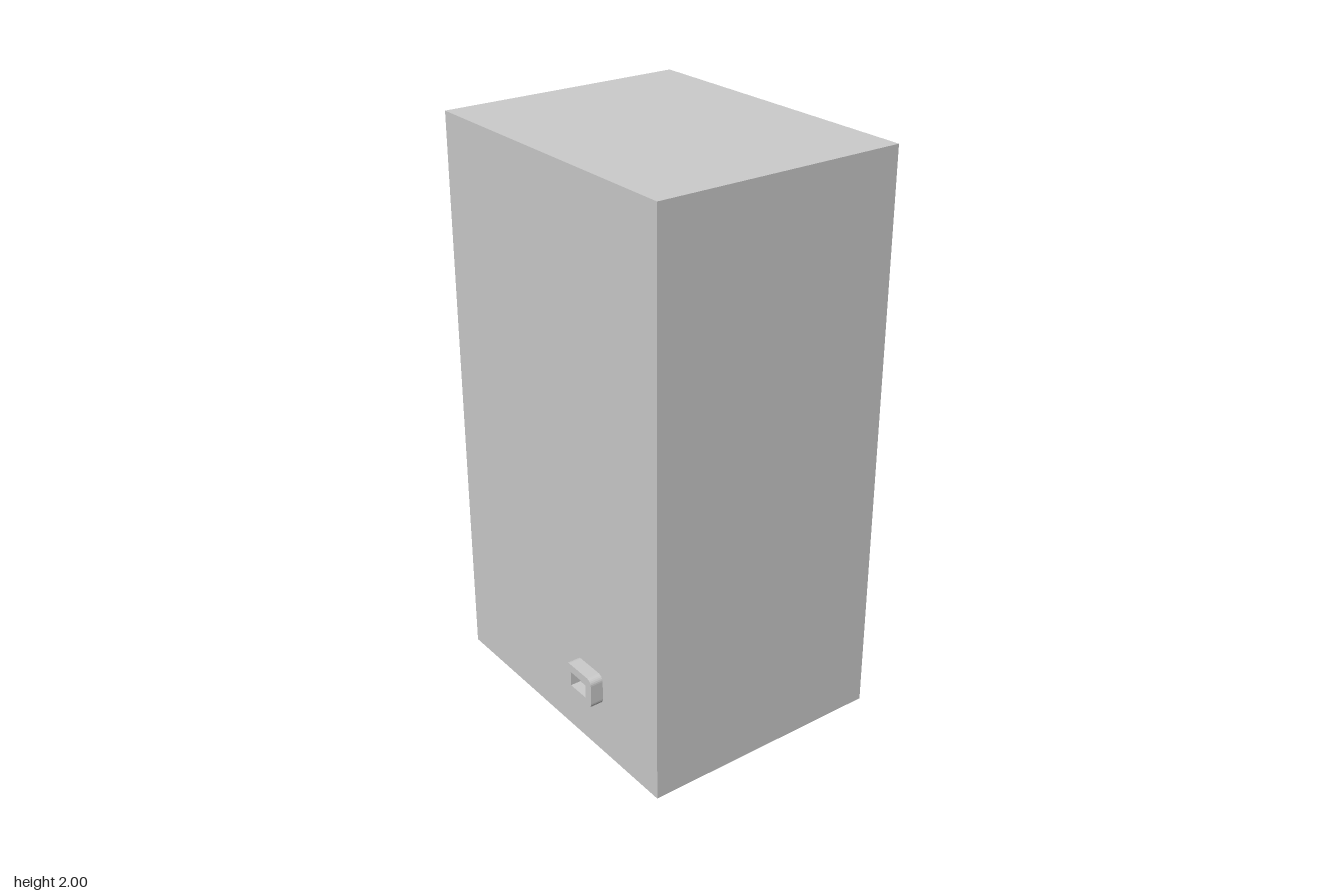
import * as THREE from 'three';

const FRONT = 0.467; // outer surface of the vending face (+x)
const BACK = -0.42;
const SLAB = 0.1; // thickness of the layer holding the recesses
const INNER = FRONT - SLAB;

const material = new THREE.MeshStandardMaterial({ color: 0xcccccc });

// Outline points are [z, y]; the shape plane is turned to face +x, so u = -z
const toPoints = (outline) => outline.map(([z, y]) => new THREE.Vector2(-z, y));
const rect = (z0, z1, y0, y1) => [[z1, y0], [z0, y0], [z0, y1], [z1, y1]];

function addPlate(group, name, outline, holes, x0, x1) {
  const shape = new THREE.Shape(toPoints(outline));
  for (const hole of holes) shape.holes.push(new THREE.Path(toPoints(hole)));
  const geometry = new THREE.ExtrudeGeometry(shape, { depth: x1 - x0, bevelEnabled: false });
  geometry.rotateY(Math.PI / 2).translate(x0, 0, 0);
  const mesh = new THREE.Mesh(geometry, material);
  mesh.name = name;
  group.add(mesh);
}

// Rectangle outline with rounded corners
function roundedRect(z0, z1, y0, y1, r, steps = 6) {
  const points = [];
  const corners = [[z1 - r, y1 - r], [z0 + r, y1 - r], [z0 + r, y0 + r], [z1 - r, y0 + r]];
  corners.forEach(([z, y], i) => {
    for (let k = 0; k <= steps; k++) {
      const a = (i + k / steps) * Math.PI / 2;
      points.push([z + r * Math.cos(a), y + r * Math.sin(a)]);
    }
  });
  return points;
}

export function createModel() {
  const model = new THREE.Group();
  model.name = 'vendingMachine';

  // Recesses: outer opening, optional inner opening, and the depth of each step
  const recesses = [
    { name: 'window', outer: rect(-0.283, 0.483, 0.625, 1.927),
      inner: rect(-0.25, 0.45, 0.655, 1.89), d1: 0.035, d2: 0.035 },
    { name: 'dispenser', outer: rect(-0.235, 0.365, 0.147, 0.4),
      inner: rect(-0.198, 0.33, 0.18, 0.365), d1: 0.04, d2: 0.04 },
    { name: 'cardReader',
      outer: [[-0.29, 1.445], [-0.548, 1.445], [-0.548, 1.56], [-0.39, 1.56], [-0.37, 1.555], [-0.29, 1.555]],
      inner: rect(-0.505, -0.335, 1.49, 1.52), d1: 0.025, d2: 0.03 },
    { name: 'keypad',
      outer: [[-0.29, 1.133], [-0.548, 1.133], [-0.548, 1.28], [-0.405, 1.28], [-0.39, 1.285], [-0.29, 1.285]],
      d1: 0.025 },
  ];

  // Cabinet and its pierced front layer
  const cabinet = new THREE.Mesh(new THREE.BoxGeometry(INNER - BACK, 2, 1.116), material);
  cabinet.position.set((INNER + BACK) / 2, 1, 0);
  cabinet.name = 'cabinet';
  model.add(cabinet);
  addPlate(model, 'frontPanel', rect(-0.558, 0.558, 0, 2), recesses.map((r) => r.outer), INNER, FRONT);

  // Stepped frames and floors inside the recesses
  for (const { name, outer, inner, d1, d2 } of recesses) {
    const group = new THREE.Group();
    group.name = name;
    addPlate(group, name + 'Frame', outer, inner ? [inner] : [], INNER, FRONT - d1);
    if (inner) addPlate(group, name + 'Floor', inner, [], INNER, FRONT - d1 - d2);
    model.add(group);
  }

  // Power socket on the back: rounded collar with a sunken centre
  const socket = new THREE.Group();
  socket.name = 'powerSocket';
  const hole = rect(0.143, 0.228, 0.222, 0.275);
  addPlate(socket, 'socketCollar', roundedRect(0.113, 0.26, 0.192, 0.305, 0.022), [hole], -0.467, BACK);
  addPlate(socket, 'socketFloor', hole, [], -0.43, BACK);
  model.add(socket);

  return model;
}
